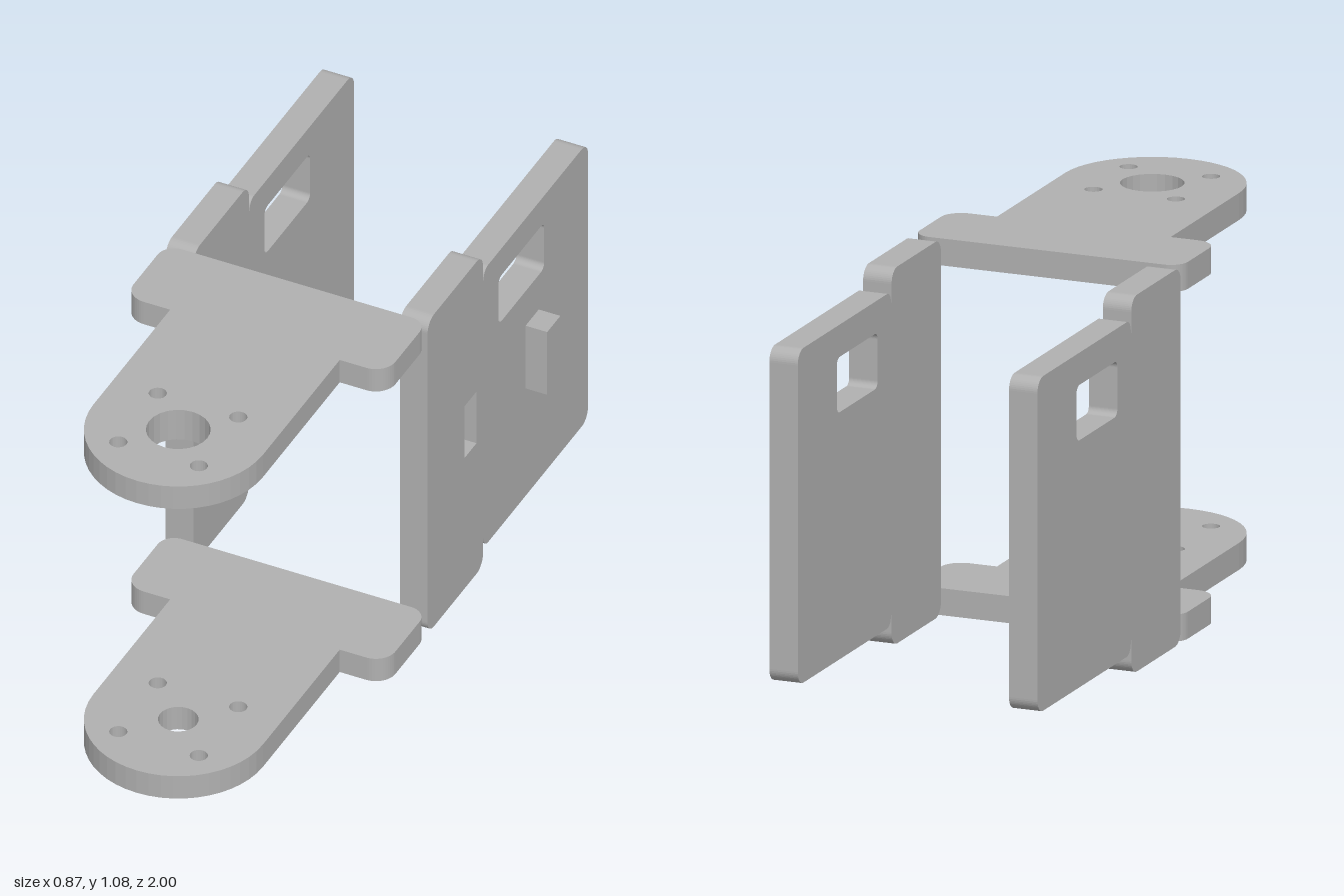
import * as THREE from 'three';

const steel = new THREE.MeshStandardMaterial({ color: 0xb0b0b0 });
steel.name = 'plain grey';

// Closed outline through [x, y, radius] corners, each rounded to a circular arc.
function rounded(corners, Path = THREE.Shape) {
  const path = new Path();
  const n = corners.length;
  const K = 0.4477; // right-angle arc as a cubic curve
  corners.forEach(([x, y, r], i) => {
    const toward = ([px, py], d) => {
      const len = Math.hypot(px - x, py - y);
      return [x + ((px - x) * d) / len, y + ((py - y) * d) / len];
    };
    const prev = corners[(i + n - 1) % n];
    const next = corners[(i + 1) % n];
    const start = toward(prev, r);
    if (i === 0) path.moveTo(...start);
    else path.lineTo(...start);
    if (r > 0) path.bezierCurveTo(...toward(prev, r * K), ...toward(next, r * K), ...toward(next, r));
  });
  path.closePath();
  return path;
}

const rectHole = (x0, x1, y0, y1, r) =>
  rounded([[x0, y0, r], [x1, y0, r], [x1, y1, r], [x0, y1, r]], THREE.Path);

const roundHole = (x, y, r) => new THREE.Path().absarc(x, y, r, 0, Math.PI * 2, true);

function extrude(shape, depth) {
  return new THREE.ExtrudeGeometry(shape, { depth, bevelEnabled: false, curveSegments: 12 });
}

function addMesh(parent, name, geometry) {
  const mesh = new THREE.Mesh(geometry, steel);
  mesh.name = name;
  parent.add(mesh);
  return mesh;
}

const CX = -0.035; // mid-line of the bracket
const PIVOT_Z = 0.738;
const THICK = 0.077;

// Horizontal T-shaped arm; the outline is drawn in x and -z.
function armGeometry(boreRadius) {
  const w = 0.4, n = 0.259;
  const shape = rounded([
    [CX - w, 0, 0.05], [CX - w, -0.26, 0.06], [CX - n, -0.26, 0], [CX - n, -0.997, n],
    [CX + n, -0.997, n], [CX + n, -0.26, 0], [CX + w, -0.26, 0.06], [CX + w, 0, 0.05],
  ]);
  shape.holes.push(roundHole(CX, -PIVOT_Z, boreRadius));
  for (const sx of [-1, 1])
    for (const sz of [-1, 1])
      shape.holes.push(roundHole(CX + sx * 0.123, -PIVOT_Z + sz * 0.123, 0.025));
  return extrude(shape, THICK).rotateX(-Math.PI / 2);
}

// Upright side plate; the outline is drawn in -z and y.
function sideGeometry(depth, withSlot) {
  const r = 0.04;
  const shape = rounded([
    [0, 0, r], [0.345, 0, r], [0.345, 0.1, 0], [0.357, 0.06, 0.02], [1, 0.06, r],
    [1, 1.015, r], [0.357, 1.015, 0.02], [0.345, 0.975, 0], [0.345, 1.075, r], [0, 1.075, r],
  ]);
  shape.holes.push(rectHole(0.442, 0.727, 0.765, 0.923, 0.02));
  if (withSlot) shape.holes.push(rectHole(0.23, 0.305, 0.45, 0.628, 0));
  return extrude(shape, depth).rotateY(Math.PI / 2);
}

export function createModel() {
  const model = new THREE.Group();
  model.name = 'bracket';

  // Arms
  addMesh(model, 'lowerArm', armGeometry(0.056));
  addMesh(model, 'upperArm', armGeometry(0.089)).position.y = 1.075 - THICK;

  // Bearing disc under the upper arm
  const disc = new THREE.Shape().absarc(CX, -PIVOT_Z, 0.222, 0, Math.PI * 2);
  disc.holes.push(roundHole(CX, -PIVOT_Z, 0.089));
  addMesh(model, 'bearingDisc', extrude(disc, 0.024).rotateX(-Math.PI / 2)).position.y = 0.974;

  // Side plates; the left one is built in two layers to leave a blind slot
  addMesh(model, 'rightSidePlate', sideGeometry(0.085, false)).position.x = -0.435;
  const left = new THREE.Group();
  left.name = 'leftSidePlate';
  left.position.x = 0.28;
  addMesh(left, 'innerLayer', sideGeometry(0.04, false));
  addMesh(left, 'slottedLayer', sideGeometry(0.045, true)).position.x = 0.04;
  model.add(left);

  // Locating peg on the outside of the left plate
  addMesh(model, 'peg', new THREE.BoxGeometry(0.07, 0.216, 0.082)).position.set(0.396, 0.538, -0.652);

  return model;
}
